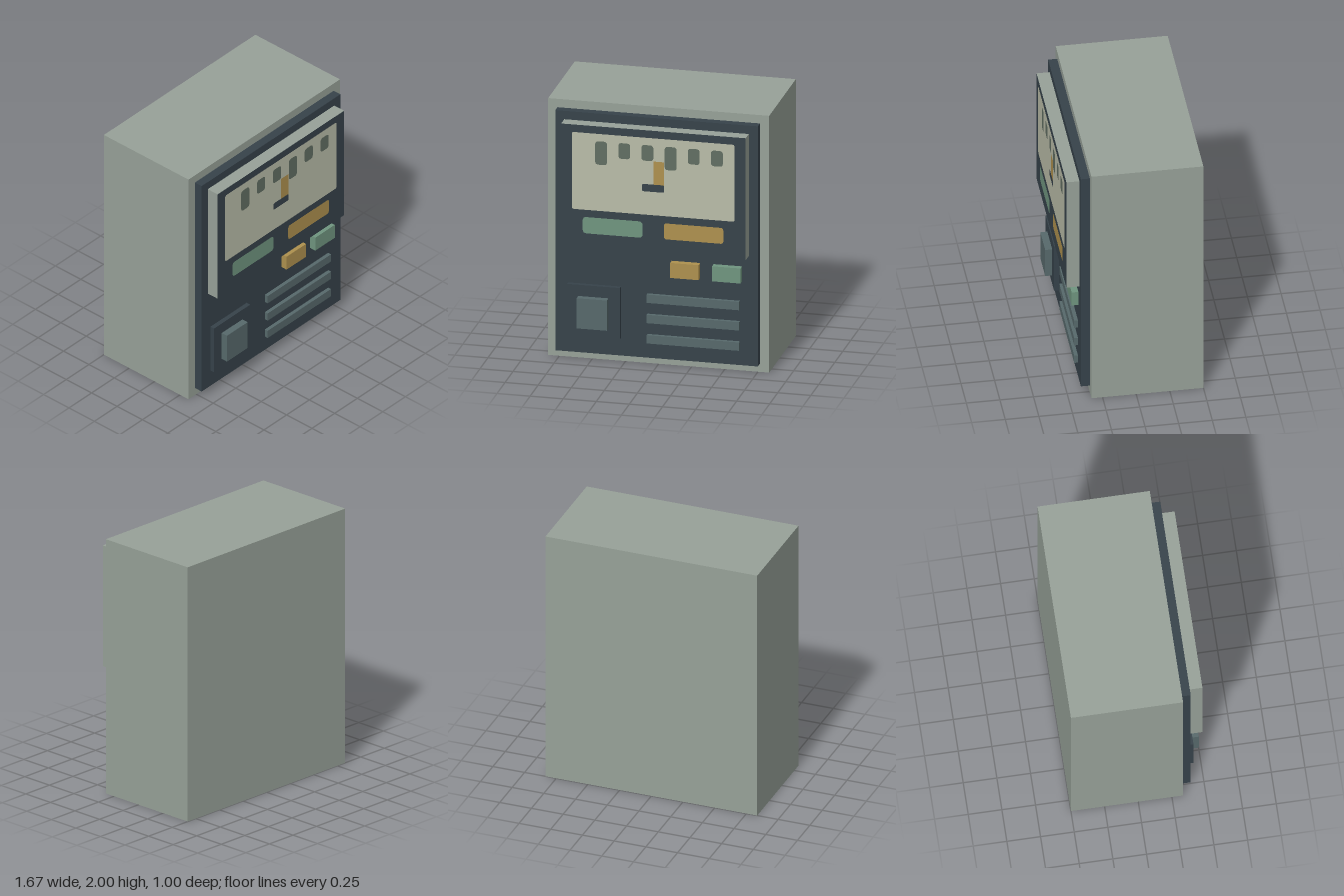
import * as THREE from 'three';

const mat = (name, color) => {
  const m = new THREE.MeshStandardMaterial({ color });
  m.name = name;
  return m;
};

export function createModel() {
  const group = new THREE.Group();
  const casing = mat('casing grey', 0x97a198);
  const dark = mat('dark slate', 0x36424a);
  const cream = mat('dial cream', 0xb9bca8);
  const amber = mat('amber', 0xae914e);
  const green = mat('soft green', 0x6f957f);
  const steel = mat('blue steel', 0x57696b);
  const mark = mat('mark grey', 0x616e62);

  // Box given by its limits on each axis
  function box(name, x0, x1, y0, y1, z0, z1, material) {
    const mesh = new THREE.Mesh(new THREE.BoxGeometry(x1 - x0, y1 - y0, z1 - z0), material);
    mesh.position.set((x0 + x1) / 2, (y0 + y1) / 2, (z0 + z1) / 2);
    mesh.name = name;
    group.add(mesh);
  }

  // Flat painted rectangle with rounded corners, facing the front
  function plate(name, x0, x1, y0, y1, z, r, material) {
    const s = new THREE.Shape();
    s.moveTo(x0 + r, y0);
    s.lineTo(x1 - r, y0);
    s.quadraticCurveTo(x1, y0, x1, y0 + r);
    s.lineTo(x1, y1 - r);
    s.quadraticCurveTo(x1, y1, x1 - r, y1);
    s.lineTo(x0 + r, y1);
    s.quadraticCurveTo(x0, y1, x0, y1 - r);
    s.lineTo(x0, y0 + r);
    s.quadraticCurveTo(x0, y0, x0 + r, y0);
    const mesh = new THREE.Mesh(new THREE.ShapeGeometry(s, 4), material);
    mesh.position.z = z;
    mesh.name = name;
    group.add(mesh);
  }

  // Cabinet and front panel
  box('cabinet', -0.835, 0.835, 0, 2, -0.5, 0.333, casing);
  box('frontPanel', -0.765, 0.765, 0.065, 1.935, 0.333, 0.4, dark);

  // Raised display: grey sides, dark front face (+z is face index 4)
  box('display', -0.697, 0.697, 0.92, 1.87, 0.4, 0.497,
    [casing, casing, casing, casing, dark, casing]);

  // Painted dial with scale marks, needle and hub
  plate('dialFace', -0.615, 0.612, 1.213, 1.812, 0.498, 0.015, cream);
  for (let i = 0; i < 6; i++) {
    const x = -0.44 + i * 0.175;
    plate('scaleMark', x, x + 0.09, i % 3 === 0 ? 1.573 : 1.633, 1.755, 0.499, 0.025, mark);
  }
  plate('needle', 0, 0.081, 1.44, 1.632, 0.4995, 0.003, amber);
  plate('needleHub', -0.085, 0.081, 1.395, 1.452, 0.5, 0.012, dark);

  // Indicator strips below the dial
  plate('greenIndicator', -0.535, -0.082, 1.03, 1.157, 0.498, 0.03, green);
  plate('amberIndicator', 0.08, 0.528, 1.033, 1.157, 0.498, 0.02, amber);

  // Push buttons
  box('amberButton', 0.115, 0.33, 0.718, 0.835, 0.4, 0.45, amber);
  box('greenButton', 0.432, 0.647, 0.718, 0.835, 0.4, 0.45, green);

  // Square switch on its base
  box('switchBase', -0.667, -0.268, 0.203, 0.602, 0.4, 0.435, dark);
  box('switchKnob', -0.583, -0.355, 0.28, 0.515, 0.435, 0.487, steel);

  // Vent slats
  for (let i = 0; i < 3; i++) {
    const y = 0.185 + i * 0.158;
    box('ventSlat', -0.068, 0.63, y, y + 0.065, 0.4, 0.428, steel);
  }

  return group;
}
